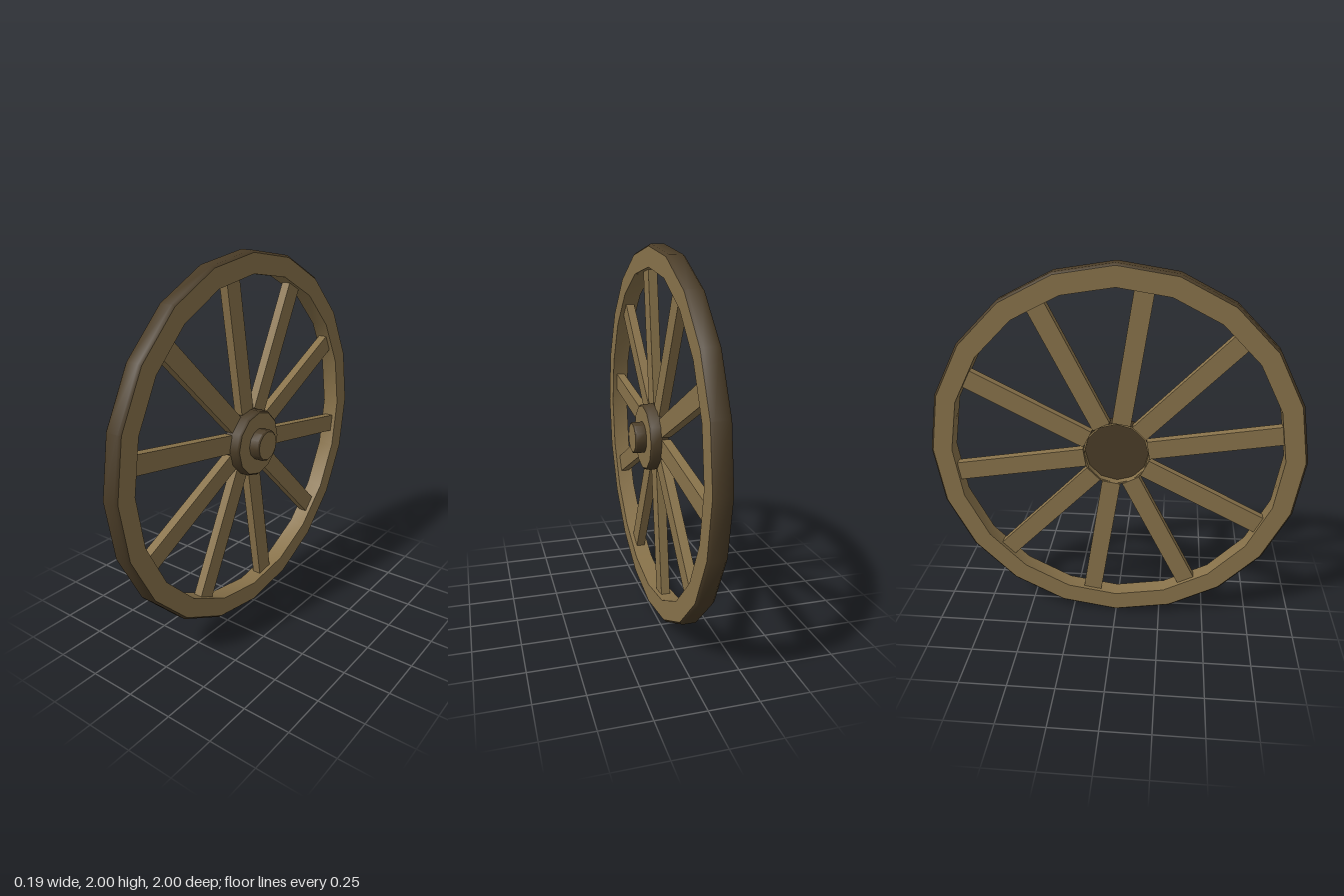
import * as THREE from 'three';
import { toCreasedNormals } from 'three/addons/utils/BufferGeometryUtils.js';

function material(name, color) {
  const m = new THREE.MeshStandardMaterial({ color });
  m.name = name;
  return m;
}
const wood = material('wood', 0x88724a);
const darkWood = material('darkWood', 0x4a3c27);

// Turned part: profile of [radius, x] pairs spun around the x axis.
function turned(name, profile, sides, mat) {
  const points = profile.map(([r, x]) => new THREE.Vector2(r, x));
  const geometry = new THREE.LatheGeometry(points, sides).rotateZ(-Math.PI / 2);
  const mesh = new THREE.Mesh(toCreasedNormals(geometry, 0.9), mat);
  mesh.name = name;
  return mesh;
}

export function createModel() {
  const wheel = new THREE.Group();
  wheel.name = 'wagonWheel';

  // Everything is built around the axle, one unit above the ground.
  const parts = new THREE.Group();
  parts.name = 'wheelParts';
  parts.position.y = 1;
  wheel.add(parts);

  // Rim: light sides and inner wall, dark tread with chamfered edges
  const back = -0.093, front = 0.001;
  parts.add(turned('rimFrontFace', [[0.988, front], [0.885, front]], 20, wood));
  parts.add(turned('rimInnerWall', [[0.885, front], [0.885, back]], 20, wood));
  parts.add(turned('rimBackFace', [[0.885, back], [0.988, back]], 20, wood));
  parts.add(turned('rimTread', [
    [0.988, back], [1, back + 0.013], [1, front - 0.013], [0.988, front],
  ], 20, darkWood));

  // Hub, hollow at the back, with a dark floor and a dark outer edge
  const hub = new THREE.Group();
  hub.name = 'hub';
  hub.position.y = -0.005;
  parts.add(hub);
  hub.add(turned('hubFloor', [[0, -0.02], [0.172, -0.02]], 12, darkWood));
  hub.add(turned('hubInnerWall', [[0.172, -0.02], [0.172, -0.06], [0.182, -0.06]], 12, wood));
  hub.add(turned('hubEdge', [[0.182, -0.06], [0.182, 0.023], [0.172, 0.034]], 12, darkWood));
  hub.add(turned('hubFace', [[0.172, 0.034], [0.08, 0.034]], 12, wood));

  // Axle cap: dark side, light end
  hub.add(turned('axleCapSide', [[0.086, 0.033], [0.086, 0.085], [0.078, 0.092]], 12, darkWood));
  hub.add(turned('axleCapEnd', [[0.078, 0.092], [0, 0.092]], 12, wood));

  // Ten spokes between hub and rim
  const inner = 0.172, outer = 0.885;
  const spokeGeometry = new THREE.BoxGeometry(0.048, outer - inner, 0.1)
    .translate(-0.046, (inner + outer) / 2, 0);
  for (let i = 0; i < 10; i++) {
    const spoke = new THREE.Mesh(spokeGeometry, wood);
    spoke.name = 'spoke' + (i + 1);
    spoke.rotation.x = THREE.MathUtils.degToRad(9 + i * 36);
    parts.add(spoke);
  }

  return wheel;
}
